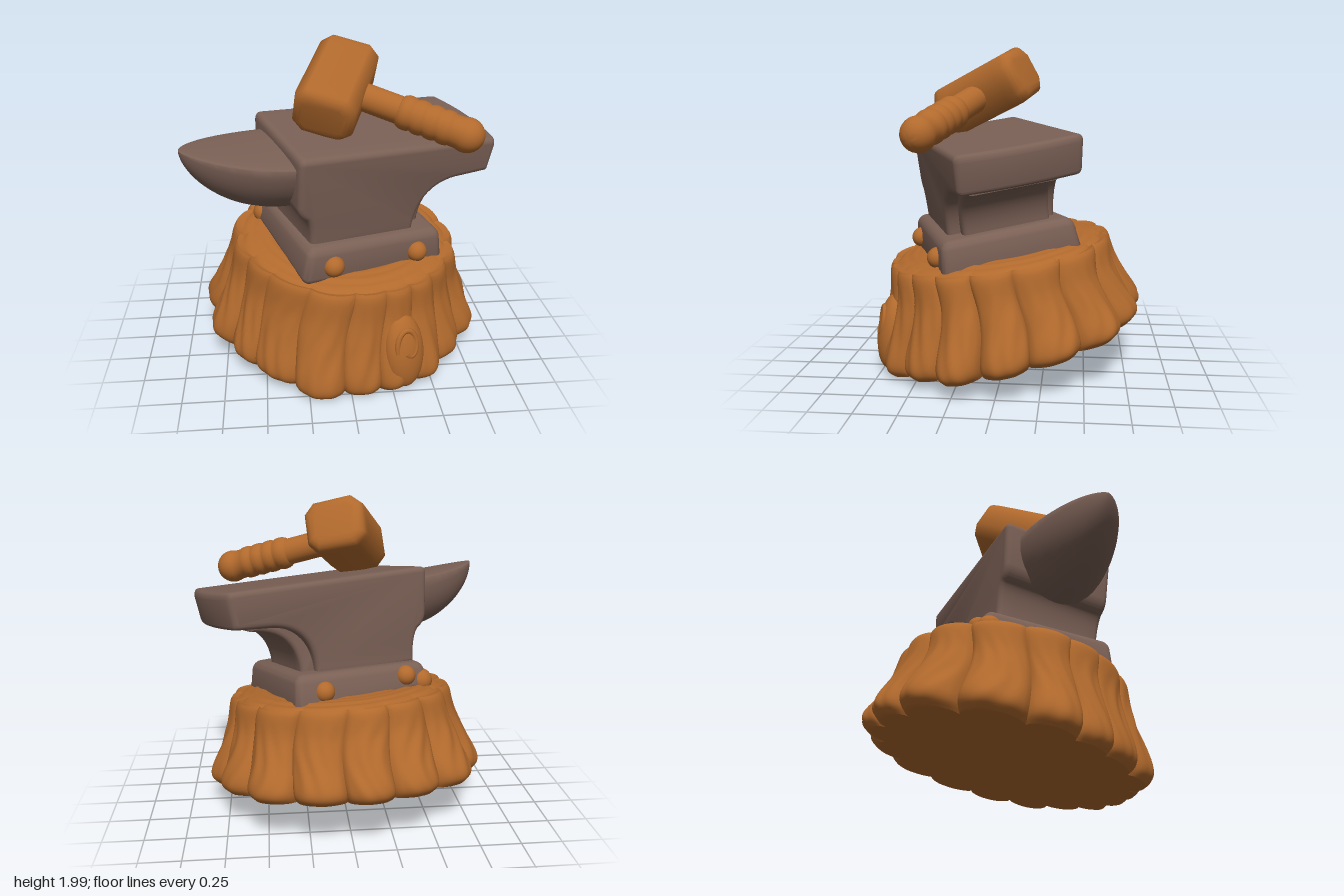
import * as THREE from 'three';
import { toCreasedNormals } from 'three/addons/utils/BufferGeometryUtils.js';
import { RoundedBoxGeometry } from 'three/addons/geometries/RoundedBoxGeometry.js';

const V = (x, y, z) => new THREE.Vector3(x, y, z);

// Skins a list of closed cross-sections
function loft(rows, crease) {
  const n = rows[0].length, pos = [], idx = [];
  rows.forEach(r => r.forEach(p => pos.push(p.x, p.y, p.z)));
  for (let i = 0; i < rows.length - 1; i++) {
    for (let j = 0; j < n; j++) {
      const k = (j + 1) % n, a = i * n + j, b = i * n + k, c = b + n, d = a + n;
      idx.push(a, b, c, a, c, d);
    }
  }
  const g = new THREE.BufferGeometry();
  g.setAttribute('position', new THREE.Float32BufferAttribute(pos, 3));
  g.setIndex(idx);
  return toCreasedNormals(g, crease);
}

// Moves every vertex by a rule
function warp(g, rule) {
  const p = g.attributes.position, v = V(0, 0, 0);
  for (let i = 0; i < p.count; i++) {
    v.fromBufferAttribute(p, i);
    rule(v);
    p.setXYZ(i, v.x, v.y, v.z);
  }
  return g;
}

// Extrusion centred on z, with rounded edges kept inside the outline
function slab(shape, depth, bevel, segments) {
  const g = new THREE.ExtrudeGeometry(shape, {
    depth: depth - 2 * bevel, steps: 8, bevelEnabled: true, bevelThickness: bevel,
    bevelSize: bevel, bevelOffset: -bevel, bevelSegments: segments, curveSegments: 14,
  });
  return g.translate(0, 0, -(depth / 2 - bevel));
}

// Root lobes: direction in degrees and reach at the ground
const LOBES = [[4, 0.86], [26, 0.85], [50, 0.86], [75, 0.84], [97, 0.85], [118, 0.84],
  [144, 0.87], [172, 0.87], [198, 0.85], [215, 0.8], [232, 0.79], [258, 0.84],
  [277, 0.8], [291, 0.81], [308, 0.83], [325, 0.82], [345, 0.87]];

// Stump: ribbed bark between a slanted bottom and a slanted ringed top
function stumpGeometry() {
  const PER = 22, N = LOBES.length, SEG = N * PER, rows = [];
  const profile = new THREE.SplineCurve([[0, 0.82], [0.08, 0.86], [0.2, 0.855], [0.45, 0.79],
    [0.7, 0.735], [0.93, 0.71], [1, 0.69]].map(([t, r]) => new THREE.Vector2(t, r)));
  const angle = i => LOBES[(i + N) % N][0] + 360 * Math.floor(i / N);
  const ring = (t, radius, fade, lift) => {
    const row = [];
    for (let j = 0; j < SEG; j++) {
      const id = Math.floor(j / PER), f = (j % PER) / PER;
      const from = (angle(id - 1) + angle(id)) / 2, to = (angle(id) + angle(id + 1)) / 2;
      const base = THREE.MathUtils.degToRad(from + (to - from) * f);
      const ang = base + 0.05 * t * Math.sin(t * 5 + base * 2);
      const lobe = Math.pow(Math.sin(Math.PI * f), 0.6);
      const grain = 0.006 * Math.sin(base * 45 + 3 * Math.sin(t * 5 + base * 3)) * Math.sin(Math.PI * Math.min(1, t + 0.1));
      const dip = 0.11 - 0.06 * t, reach = (LOBES[id][1] / 0.85 - 1) * (1 - 0.6 * t);
      const r = radius * (1 + fade * (-dip + (dip + reach) * lobe)) + grain * fade * lobe;
      const x = Math.cos(ang) * r - 0.01 + 0.03 * t;
      const z = -Math.sin(ang) * r + 0.055 * t;
      const low = 0.18 - 0.03 * x - 0.21 * z, high = 0.77 - 0.05 * x - 0.14 * z;
      row.push(V(x, low + (high - low) * t + lift(base), z));
    }
    rows.push(row);
  };
  const flat = () => 0;
  for (const r of [0, 0.4, 0.79]) ring(0, r, r < 0.5 ? 0 : 1, flat);
  for (let i = 0; i <= 28; i++) {
    const p = profile.getPoint(i / 28);
    ring(THREE.MathUtils.clamp(p.x, 0, 1), p.y, 1, flat);
  }
  // growth rings on the cut face
  for (let i = 1; i <= 36; i++) {
    const s = 1 - i / 36;
    const rise = i < 3 ? -0.01 : 0.022 * THREE.MathUtils.smoothstep(i, 2, 9);
    ring(1, 0.69 * s, Math.pow(s, 8), a => rise + 0.004 * Math.sin(i * 1.9 + Math.sin(a * 2)));
  }
  return loft(rows, 0.8);
}

export function createModel() {
  const wood = new THREE.MeshStandardMaterial({ color: 0xb26a2d });
  wood.name = 'warm wood';
  const iron = new THREE.MeshStandardMaterial({ color: 0x7a6055 });
  iron.name = 'brown iron';
  const model = new THREE.Group();
  model.name = 'anvilOnStump';
  const add = (parent, name, geometry, material) => {
    const m = new THREE.Mesh(geometry, material);
    m.name = name;
    parent.add(m);
    return m;
  };
  const group = (name, x, y, z) => {
    const g = new THREE.Group();
    g.name = name;
    g.position.set(x, y, z);
    model.add(g);
    return g;
  };

  add(model, 'stump', stumpGeometry(), wood);

  // Knot with a raised hook
  const knot = group('knot', 0.315, 0.265, 0.69);
  knot.rotation.set(-0.14, 0.4, 0.04, 'YXZ');
  add(knot, 'knotBoss', new THREE.SphereGeometry(1, 28, 18).scale(0.13, 0.235, 0.085), wood);
  const hook = [];
  for (let i = 0; i <= 16; i++) {
    const a = 3.4 - i * 0.36, r = 1 - i * 0.035;
    hook.push(V(Math.cos(a) * 0.075 * r, 0.05 + Math.sin(a) * 0.12 * r, 0.055 + 0.018 * i / 16));
  }
  add(knot, 'knotHook', new THREE.TubeGeometry(new THREE.CatmullRomCurve3(hook), 60, 0.018, 8), wood);

  // Anvil, turned and leaning with the stump
  const anvil = group('anvil', 0.025, 0.775, 0.081);
  const up = V(0.09, 1, 0.13).normalize();
  const along = V(0.935, 0, -0.355);
  along.addScaledVector(up, -along.dot(up)).normalize();
  anvil.quaternion.setFromRotationMatrix(
    new THREE.Matrix4().makeBasis(along, up, along.clone().cross(up)));

  // Foot, drawn in at the top and worn at one back corner
  const foot = warp(new RoundedBoxGeometry(0.94, 0.23, 0.86, 4, 0.05), v => {
    const k = 1 - 0.07 * Math.max(0, (v.y + 0.02) / 0.135);
    const worn = v.x < 0 && v.z < 0 ? 1 : 0;
    v.x = v.x * k + 0.015 * worn;
    v.z *= k;
    if (v.y > 0) v.y -= 0.05 * worn;
  }).translate(0, 0.065, 0);
  add(anvil, 'anvilFoot', toCreasedNormals(foot, 0.8), iron);
  add(anvil, 'cornerStud', new THREE.SphereGeometry(0.075, 20, 14), wood).position.set(-0.405, 0.005, -0.375);

  const side = new THREE.Shape();
  side.moveTo(-0.4, 0.12);
  side.lineTo(0.28, 0.12);
  side.lineTo(0.28, 0.2);
  side.bezierCurveTo(0.29, 0.36, 0.38, 0.48, 0.58, 0.485);
  side.lineTo(0.79, 0.5);
  side.quadraticCurveTo(0.81, 0.5, 0.815, 0.53);
  side.lineTo(0.84, 0.67);
  side.quadraticCurveTo(0.84, 0.72, 0.8, 0.72);
  side.lineTo(-0.47, 0.72);
  side.quadraticCurveTo(-0.51, 0.72, -0.51, 0.67);
  side.lineTo(-0.5, 0.42);
  side.quadraticCurveTo(-0.49, 0.36, -0.44, 0.33);
  side.quadraticCurveTo(-0.4, 0.28, -0.4, 0.12);
  // sides lean in toward the foot, heel end bows outward
  const body = warp(slab(side, 0.73, 0.035, 4), v => {
    const t = THREE.MathUtils.clamp((0.71 - v.y) / 0.55, 0, 1);
    if (v.x > 0.6) v.x -= 0.05 * Math.pow(v.z / 0.36, 2) * (v.x - 0.6) / 0.24;
    v.z = v.z * (1 - 0.08 * t) - 0.035 * (1 - t);
  });
  add(anvil, 'anvilBody', toCreasedNormals(body, 0.6), iron);

  // Thicker web under the heel, set in from both faces
  const webShape = new THREE.Shape();
  webShape.moveTo(0.1, 0.12);
  webShape.lineTo(0.36, 0.12);
  webShape.lineTo(0.36, 0.2);
  webShape.bezierCurveTo(0.37, 0.34, 0.45, 0.45, 0.64, 0.465);
  webShape.lineTo(0.64, 0.56);
  webShape.lineTo(0.1, 0.56);
  const web = slab(webShape, 0.54, 0.03, 3).translate(0, 0, -0.015);
  add(anvil, 'heelWeb', toCreasedNormals(web, 0.6), iron);

  // Horn: shallow top, deep round belly, blunt tip
  const hornRows = [];
  for (let i = 0; i <= 28; i++) {
    const t = Math.sin(i / 28 * Math.PI / 2);
    const w = 0.29 * Math.pow(1 - Math.pow(t, 1.8), 0.66);
    const d = 0.34 * Math.pow(1 - Math.pow(t, 2.2), 0.62);
    const row = [];
    for (let j = 0; j < 40; j++) {
      const a = j / 40 * Math.PI * 2, s = Math.sin(a), c = Math.cos(a);
      const y = s > 0 ? 0.1 * w * s : d * s;
      row.push(V(-0.46 - 0.62 * t, 0.635 + 0.05 * t * t + y, c * w - 0.01 - 0.02 * t));
    }
    hornRows.push(row);
  }
  add(anvil, 'anvilHorn', loft(hornRows, 0.8), iron);

  // Bolts on both long sides of the foot
  for (const z of [-0.4, 0.415]) {
    for (const x of [-0.285, 0.275]) {
      add(anvil, 'bolt', new THREE.SphereGeometry(0.064, 20, 14), wood).position.set(x, 0.06, z);
    }
  }

  // Hammer head: softly chamfered block
  const hammer = group('hammer', -0.035, 1.735, 0.13);
  const axis = V(-0.355, -0.42, 0.84).normalize();
  const grip = V(0.745, -0.235, 0.3).normalize();
  const across = grip.clone().addScaledVector(axis, -grip.dot(axis)).normalize();
  const b = 0.183, c = 0.158, k = 0.065;
  const section = new THREE.Shape([[b, k - c], [b, c - k], [b - k, c], [k - b, c],
    [-b, c - k], [-b, k - c], [k - b, -c], [b - k, -c]].map(([x, y]) => new THREE.Vector2(x, y)));
  const head = add(hammer, 'hammerHead', toCreasedNormals(slab(section, 0.61, 0.065, 4), 0.85), wood);
  head.quaternion.setFromRotationMatrix(
    new THREE.Matrix4().makeBasis(across, axis.clone().cross(across), axis));

  // Handle with wrapped bands and a ball end
  const outline = [[0.084, 0], [0.084, 0.4]];
  for (let i = 0; i < 4; i++) {
    const y = 0.41 + i * 0.08;
    outline.push([0.094, y], [0.102, y + 0.02], [0.104, y + 0.04], [0.101, y + 0.065], [0.094, y + 0.078]);
  }
  for (let i = 0; i <= 10; i++) {
    const a = -0.4 + i / 10 * (Math.PI / 2 + 0.4);
    outline.push([Math.max(0, 0.104 * Math.cos(a)), 0.815 + 0.104 * Math.sin(a)]);
  }
  const handle = add(hammer, 'hammerHandle', toCreasedNormals(
    new THREE.LatheGeometry(outline.map(([r, y]) => new THREE.Vector2(r, y)), 28), 0.7), wood);
  handle.quaternion.setFromUnitVectors(V(0, 1, 0), grip);

  return model;
}
